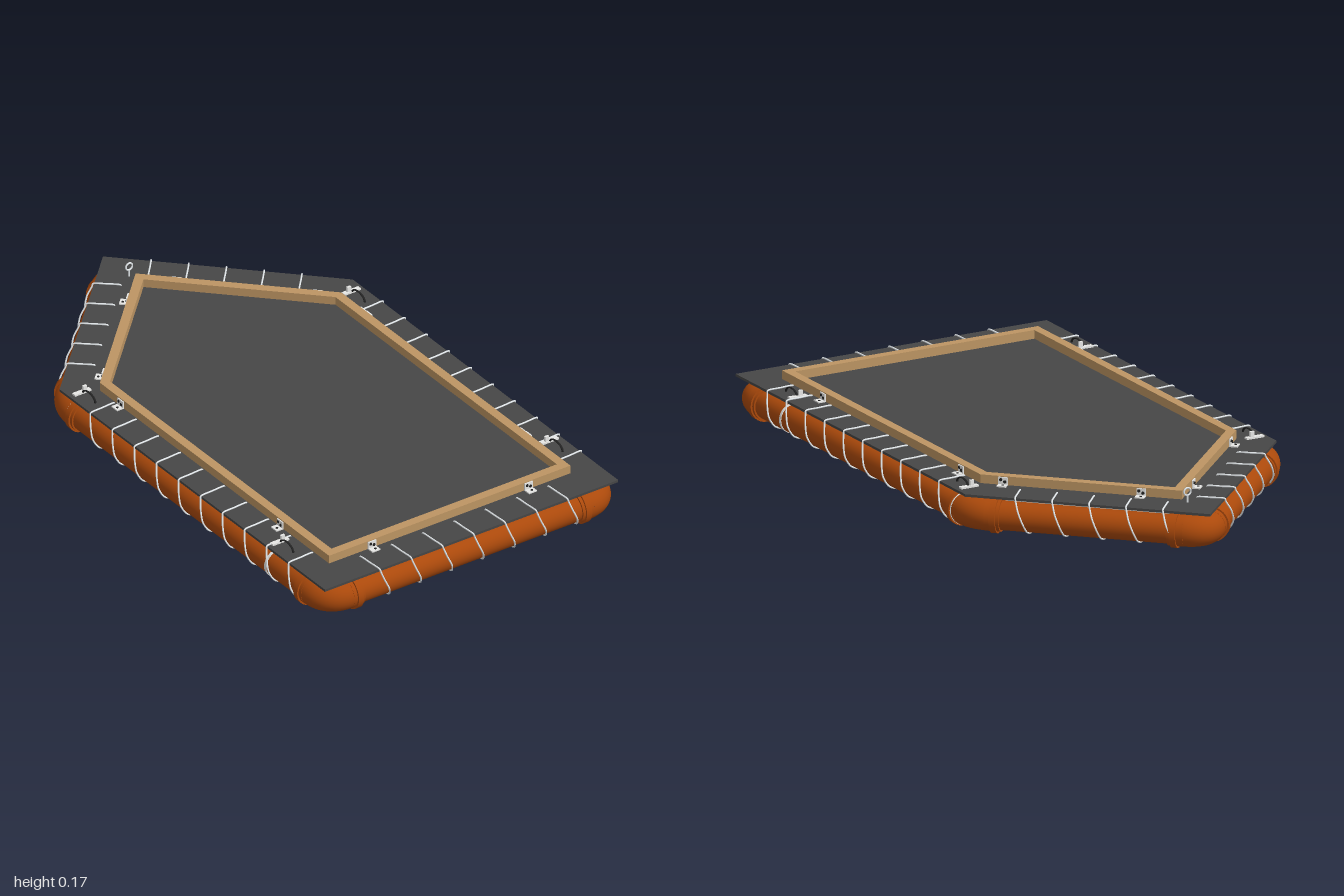
import * as THREE from 'three';

const mat = (name, color) => {
  const m = new THREE.MeshStandardMaterial({ color });
  m.name = name;
  return m;
};
const V = (x, y, z) => new THREE.Vector3(x, y, z);

export function createModel() {
  const root = new THREE.Group();
  root.name = 'floatingPlatform';
  const orange = mat('orange pipe', 0xab490b);
  const deckGrey = mat('deck grey', 0x464646);
  const underGrey = mat('underside grey', 0xc5c5c5);
  const wood = mat('wood', 0xbd9563);
  const rope = mat('rope', 0xe6ebee);
  const white = mat('white fitting', 0xeeeeec);
  const foamMat = mat('pale foam', 0xfaf6f0);
  const steel = mat('steel strap', 0x777a7c);
  const black = mat('black', 0x222222);

  const add = (name, geo, material, parent = root) => {
    const m = new THREE.Mesh(geo, material);
    m.name = name;
    parent.add(m);
    return m;
  };

  // House-shaped outline: half width, front z, point z (45 degree sides)
  const outline = (w, front, tip) => [[-w, front], [w, front], [w, tip + w], [0, tip], [-w, tip + w]];
  const prism = (pts, y0, y1, hole) => {
    const s = new THREE.Shape(pts.map(p => new THREE.Vector2(...p)));
    // Holes wind against the outline so their walls face inward
    if (hole) s.holes.push(new THREE.Path(hole.reverse().map(p => new THREE.Vector2(...p))));
    const g = new THREE.ExtrudeGeometry(s, { depth: y1 - y0, bevelEnabled: false });
    return g.rotateX(Math.PI / 2).translate(0, y1, 0);
  };

  // Deck, core, bottom sheet and raised timber frame
  add('deck', prism(outline(0.553, 0.975, -1.0), 0.116, 0.124), deckGrey);
  add('foamCore', prism(outline(0.462, 0.88, -0.875), 0.016, 0.116), foamMat);
  add('bottomSheet', prism(outline(0.468, 0.886, -0.885), 0.012, 0.016), underGrey);
  add('timberFrame', prism(outline(0.455, 0.858, -0.825), 0.124, 0.152,
    outline(0.425, 0.828, -0.783)), wood);

  // Pipe ring
  const Y = 0.058, R = 0.046;
  const corners = outline(0.52, 0.94, -0.965).map(([x, z]) => V(x, Y, z));
  const reach = [0.09, 0.09, 0.07, 0.09, 0.07];
  const trim = [0.07, 0.07, 0.045, 0.06, 0.045];
  const up = V(0, 1, 0);
  const rod = (name, a, b, r, material, sides = 32) => {
    const d = b.clone().sub(a);
    const m = add(name, new THREE.CylinderGeometry(r, r, d.length(), sides), material);
    m.position.copy(a).lerp(b, 0.5);
    m.quaternion.setFromUnitVectors(up, d.normalize());
    return m;
  };
  const wraps = [7, 10, 5, 5, 10];
  corners.forEach((c, i) => {
    const next = corners[(i + 1) % 5], prev = corners[(i + 4) % 5];
    const d = next.clone().sub(c).normalize();
    const back = prev.clone().sub(c).normalize();
    const at = (dir, t) => c.clone().addScaledVector(dir, t);
    rod('pipe', at(d, reach[i] - 0.02), next.clone().addScaledVector(d, -reach[(i + 1) % 5] + 0.02), R, orange);

    // Elbow with a thicker collar at each end
    const bend = new THREE.QuadraticBezierCurve3(at(back, trim[i]), at(back, trim[i] * 0.1).lerp(at(d, trim[i] * 0.1), 0.5), at(d, trim[i]));
    add('elbow', new THREE.TubeGeometry(bend, 14, 0.051, 28), orange);
    for (const dir of [back, d]) {
      rod('elbowSleeve', at(dir, trim[i] - 0.002), at(dir, reach[i] + 0.02), 0.0514, orange);
      rod('elbowCollar', at(dir, reach[i] - 0.01), at(dir, reach[i] + 0.01), 0.057, orange);
    }

    // Rope wraps: across the deck edge, slanting around the pipe
    const n = V(-d.z, 0, d.x);
    const len = c.distanceTo(next);
    const edge = [0.035, 0.033, 0.026, 0.026, 0.033][i];
    const loop = [[-0.058, 0.126, 0], [-0.01, 0.1265, 0.003], [edge, 0.1265, 0.006], [edge + 0.005, 0.115, 0.009],
      [0.045, 0.085, 0.02], [0.048, 0.05, 0.035], [0.032, 0.02, 0.045], [0, 0.01, 0.05], [-0.032, 0.02, 0.045],
      [-0.05, 0.06, 0.02], [-0.058, 0.11, 0]];
    for (let k = 0; k < wraps[i]; k++) {
      const s = len / 2 + (k - (wraps[i] - 1) / 2) * 0.118;
      const pts = loop.map(([o, y, shift]) => at(d, s + shift).addScaledVector(n, o).setY(y));
      add('ropeWrap', new THREE.TubeGeometry(new THREE.CatmullRomCurve3(pts, true, 'catmullrom', 0.4), 64, 0.0028, 12, true), rope);
    }
  });

  // Straps under the platform and around the side pipes
  for (const z of [-0.385, 0.675]) {
    rod('crossStrap', V(-0.47, 0.012, z), V(0.47, 0.012, z), 0.003, steel, 16);
    for (const s of [-1, 1]) {
      rod('pipeStrap', V(s * 0.52, Y, z - 0.005), V(s * 0.52, Y, z + 0.005), z < 0 ? 0.0525 : 0.048, white);

      // Arched grab handle on a white base plate
      const handle = new THREE.Group();
      handle.name = 'grabHandle';
      handle.position.set(s * 0.508, 0.124, z);
      root.add(handle);
      add('handleBase', new THREE.BoxGeometry(0.062, 0.006, 0.016), white, handle).position.set(0, 0.003, -0.006);
      add('handlePost', new THREE.BoxGeometry(0.014, 0.022, 0.008), white, handle).position.set(-s * 0.01, 0.012, -0.006);
      const arch = add('handleArch', new THREE.TorusGeometry(0.034, 0.0036, 12, 24, Math.PI), black, handle);
      arch.rotation.y = Math.PI / 2;
      arch.scale.y = 0.6;
      arch.position.z = 0.032;
    }
  }

  // Angle brackets against the timber frame: x, z, facing angle
  const brackets = [[0.456, -0.255, Math.PI / 2], [0.456, 0.6, Math.PI / 2], [0.295, 0.859, 0],
    [0.092, -0.735, Math.PI * 0.75], [0.404, -0.423, Math.PI * 0.75]];
  for (const [x, z, angle] of brackets) {
    for (const s of [-1, 1]) {
      const b = new THREE.Group();
      b.name = 'angleBracket';
      b.position.set(s * x, 0.124, z);
      b.rotation.y = s * angle;
      root.add(b);
      add('bracketFoot', new THREE.BoxGeometry(0.03, 0.004, 0.026), white, b).position.set(0, 0.002, 0.013);
      add('bracketBack', new THREE.BoxGeometry(0.03, 0.026, 0.004), white, b).position.set(0, 0.013, 0.002);
      add('footBolt', new THREE.CylinderGeometry(0.004, 0.004, 0.003, 20), black, b).position.set(0.003, 0.004, 0.016);
      for (const [bx, by] of [[-0.007, 0.018], [0.006, 0.012]]) {
        const bolt = add('backBolt', new THREE.CylinderGeometry(0.005, 0.005, 0.003, 20), black, b);
        bolt.rotation.x = Math.PI / 2;
        bolt.position.set(bx, by, 0.004);
      }
    }
  }

  // Ring bolt near the point
  add('ringBolt', new THREE.TorusGeometry(0.012, 0.003, 12, 28), rope).position.set(0, 0.159, -0.86);
  rod('ringShaft', V(0, 0.12, -0.86), V(0, 0.148, -0.86), 0.003, rope, 16);
  return root;
}
